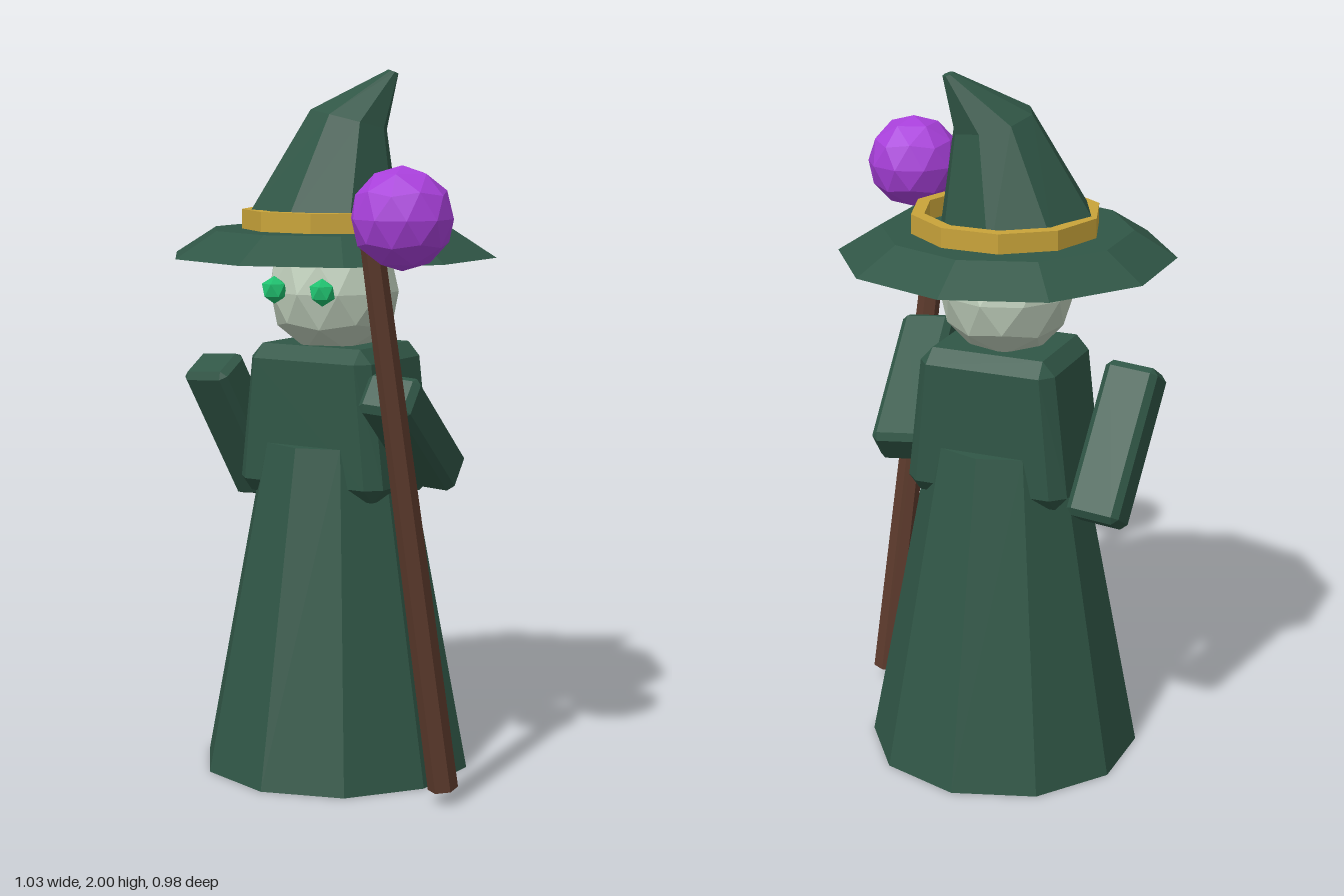
import * as THREE from 'three';
import { ConvexGeometry } from 'three/addons/geometries/ConvexGeometry.js';

const paint = (name, hex) => {
  const m = new THREE.MeshStandardMaterial({ color: hex });
  m.name = name;
  return m;
};

// Faceted normals for the low-poly look
function flat(geo) {
  const g = geo.index ? geo.toNonIndexed() : geo;
  g.computeVertexNormals();
  return g;
}

// Box with chamfered edges; topScale narrows its width towards the top
function chamferBox(w, h, d, b, topScale = 1) {
  const pts = [];
  for (const sx of [-1, 1]) for (const sy of [-1, 1]) for (const sz of [-1, 1])
    for (const axis of [0, 1, 2]) {
      const p = [w / 2, h / 2, d / 2].map((v, i) => (i === axis ? v : v - b));
      const y = sy * p[1];
      const k = 1 + (topScale - 1) * (y / h + 0.5);
      pts.push(new THREE.Vector3(sx * p[0] * k, y, sz * p[2]));
    }
  return new ConvexGeometry(pts);
}

// Icosphere standing on one of its vertices
const ball = (r, detail) =>
  new THREE.IcosahedronGeometry(r, detail).rotateZ(-Math.atan(2 / (1 + Math.sqrt(5))));

// Bent cone: each ring has its own centre, radius and lean
function bentCone(rings, sides, turn) {
  const n = rings.length - 1;
  const geo = new THREE.CylinderGeometry(1, 1, 1, sides, n).rotateY(turn);
  const pos = geo.attributes.position;
  for (let i = 0; i < pos.count; i++) {
    const [cx, cy, cz, r, leanX, leanZ] = rings[Math.round((pos.getY(i) + 0.5) * n)];
    const x = pos.getX(i) * r, z = pos.getZ(i) * r;
    pos.setXYZ(i, cx + x, cy - leanX * x - leanZ * z, cz + z);
  }
  return geo;
}

export function createModel() {
  const green = paint('robe green', 0x305646);
  const gold = paint('gold', 0xc9a43a);
  const skin = paint('pale skin', 0xbccbb8);
  const eyeGreen = paint('eye green', 0x1fbf6e);
  const wood = paint('dark wood', 0x5c3a2c);
  const purple = paint('orb purple', 0xa840da);

  const model = new THREE.Group();
  model.name = 'wizard';
  const add = (name, geo, mat, x = 0, y = 0, z = 0) => {
    const mesh = new THREE.Mesh(flat(geo), mat);
    mesh.name = name;
    mesh.position.set(x, y, z);
    model.add(mesh);
    return mesh;
  };
  const UP = new THREE.Vector3(0, 1, 0);
  const CX = -0.07;

  // Robe and torso
  add('robe', new THREE.CylinderGeometry(0.21, 0.39, 0.95, 10), green, CX, 0.475, -0.03);
  add('torso', chamferBox(0.49, 0.43, 0.34, 0.04, 0.8), green, CX, 1.015, -0.03);

  // Arms, both reaching up and forward
  const arm = (name, centre, dir, roll) => {
    const m = add(name, chamferBox(0.155, 0.45, 0.125, 0.018), green, ...centre);
    const d = new THREE.Vector3(...dir).normalize();
    const side = new THREE.Vector3(1, 0, roll);
    side.addScaledVector(d, -side.dot(d)).normalize();
    m.quaternion.setFromRotationMatrix(
      new THREE.Matrix4().makeBasis(side, d, side.clone().cross(d)));
  };
  arm('rightArm', [-0.403, 0.965, -0.02], [-0.035, 0.38, 0.22], 0);
  arm('leftArm', [0.262, 1.01, 0.095], [0.055, 0.265, 0.35], 0);

  // Head and eyes
  add('head', ball(0.19, 1), skin, CX, 1.38, -0.02);
  for (const [name, side] of [['rightEye', -1], ['leftEye', 1]])
    add(name, ball(0.039, 0), eyeGreen, CX + side * 0.08, 1.39, 0.163);

  // Hat: brim, band and crooked crown
  add('hatBrim', new THREE.CylinderGeometry(0.35, 0.47, 0.075, 10), green, CX, 1.5175, -0.02);
  const bandProfile = [[0.228, 0], [0.265, 0], [0.265, 0.055], [0.228, 0.055], [0.228, 0]]
    .map(([r, y]) => new THREE.Vector2(r, y));
  add('hatBand', new THREE.LatheGeometry(bandProfile, 10, Math.PI / 2), gold, CX, 1.555, -0.028);
  add('hatCrown', bentCone([
    [-0.1, 1.545, -0.025, 0.228, 0.18, -0.12],
    [-0.043, 1.86, -0.057, 0.112, 0.2, -0.16],
    [0.05, 1.994, -0.145, 0.015, 0.3, -0.25],
  ], 8, 0.06), green);

  // Staff and orb
  const foot = new THREE.Vector3(0.406, 0.04, 0.165);
  const head = new THREE.Vector3(0.3, 1.56, 0.372);
  const along = head.clone().sub(foot);
  const staff = add('staff', new THREE.CylinderGeometry(0.031, 0.042, along.length(), 6), wood);
  staff.position.copy(foot).add(head).multiplyScalar(0.5);
  staff.quaternion.setFromUnitVectors(UP, along.normalize());
  add('orb', ball(0.137, 1), purple, 0.38, 1.616, 0.349);

  return model;
}
